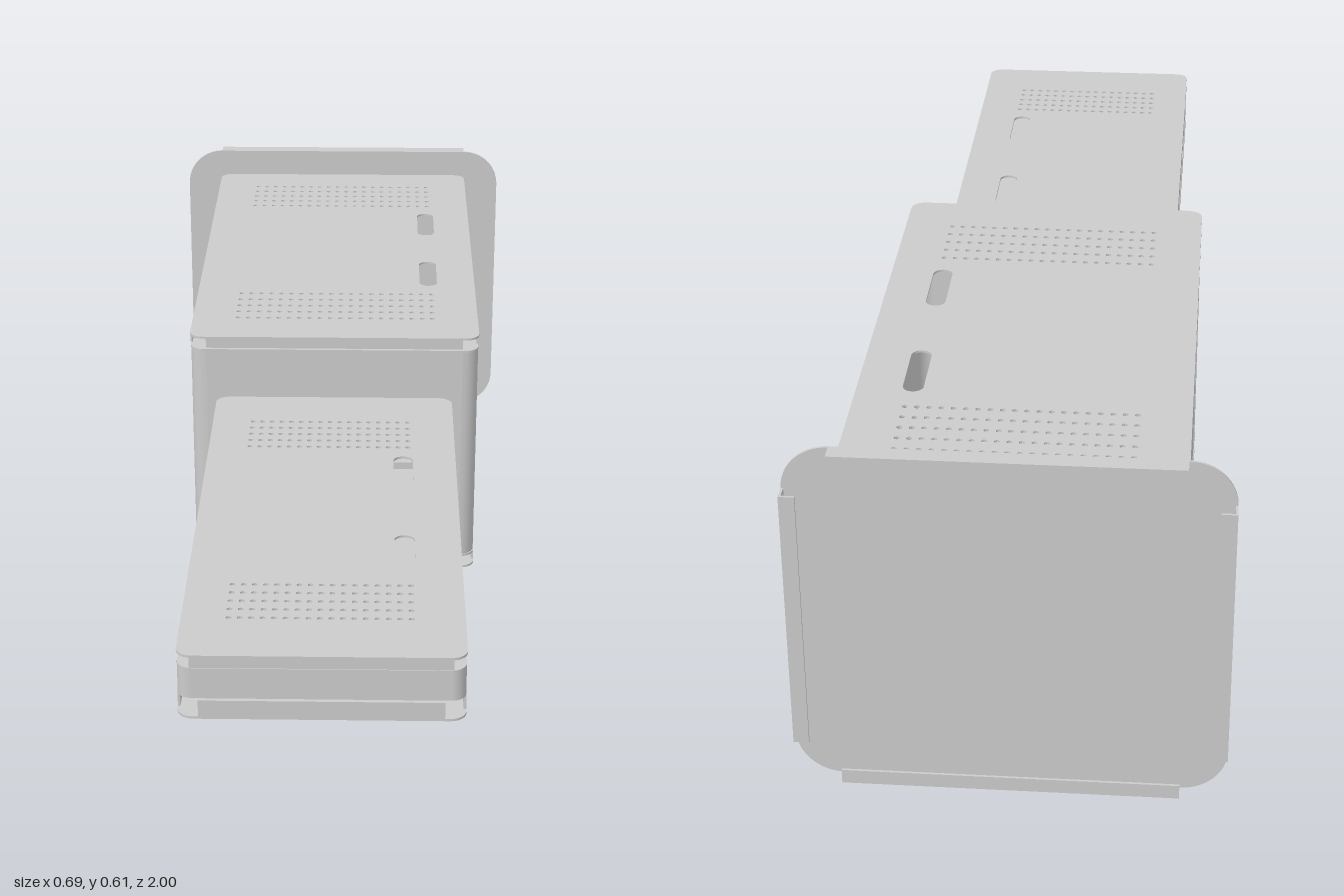
import * as THREE from 'three';

const mat = new THREE.MeshStandardMaterial({ color: 0xcccccc, side: THREE.DoubleSide });
const T = 0.004; // sheet thickness

// Rounded rectangle, used for outlines and for holes
function roundRect(x0, y0, x1, y1, r, Type = THREE.Path) {
  const p = new Type();
  p.moveTo(x0 + r, y0);
  p.lineTo(x1 - r, y0);
  p.absarc(x1 - r, y0 + r, r, -Math.PI / 2, 0);
  p.lineTo(x1, y1 - r);
  p.absarc(x1 - r, y1 - r, r, 0, Math.PI / 2);
  p.lineTo(x0 + r, y1);
  p.absarc(x0 + r, y1 - r, r, Math.PI / 2, Math.PI);
  p.lineTo(x0, y0 + r);
  p.absarc(x0 + r, y0 + r, r, Math.PI, Math.PI * 1.5);
  return p;
}

// Plan rectangle: shape y is -z
const plan = (hw, z0, z1, r, Type) => roundRect(-hw, -z1, hw, -z0, r, Type);
const planHole = (x, z, w, d, r) => roundRect(x - w / 2, -z - d / 2, x + w / 2, -z + d / 2, r);

function add(group, name, geo) {
  const m = new THREE.Mesh(geo, mat);
  m.name = name;
  group.add(m);
  return m;
}

function box(group, name, x0, x1, y0, y1, z0, z1) {
  add(group, name, new THREE.BoxGeometry(x1 - x0, y1 - y0, z1 - z0))
    .position.set((x0 + x1) / 2, (y0 + y1) / 2, (z0 + z1) / 2);
}

// Horizontal sheet with its underside at height y
function sheet(group, name, shape, holes, y) {
  shape.holes.push(...holes);
  const geo = new THREE.ExtrudeGeometry(shape, { depth: T, bevelEnabled: false, curveSegments: 4 });
  add(group, name, geo.rotateX(-Math.PI / 2).translate(0, y, 0));
}

// Upright wall following plan points [x, z]
function wall(group, name, pts, y0, y1) {
  const pos = [], idx = [];
  pts.forEach(([x, z], i) => {
    pos.push(x, y0, z, x, y1, z);
    const a = i * 2;
    if (i < pts.length - 1) idx.push(a, a + 2, a + 1, a + 1, a + 2, a + 3);
  });
  const geo = new THREE.BufferGeometry();
  geo.setAttribute('position', new THREE.Float32BufferAttribute(pos, 3));
  geo.setIndex(idx);
  geo.computeVertexNormals();
  add(group, name, geo);
}

// Field of small round vents: five rows
function vents(hw, z0, z1, count, xc) {
  const holes = [];
  for (let r = 0; r < 5; r++) {
    for (let i = 0; i < count; i++) {
      const x = xc - hw + (2 * hw * i) / (count - 1);
      const z = z0 + ((z1 - z0) * r) / 4;
      holes.push(new THREE.Path().absarc(x, -z, 0.0048, 0, Math.PI * 2));
    }
  }
  return holes;
}

// Shallow pan: a plate with four folded skirts that stop short of the corners
function pan(group, name, o) {
  const g = new THREE.Group();
  g.name = name;
  const up = o.plate > o.edge;
  const y0 = Math.min(o.plate, o.edge), y1 = Math.max(o.plate, o.edge);
  sheet(g, name + ' plate', plan(o.hw, o.z0, o.z1, 0.025, THREE.Shape), o.holes, up ? y1 - T : y0);
  for (const z of [o.z0, o.z1 - T]) box(g, name + ' end skirt', -o.sx, o.sx, y0, y1, z, z + T);
  for (const x of [-o.hw, o.hw - T]) box(g, name + ' side skirt', x, x + T, y0, y1, o.sz0, o.sz1);
  group.add(g);
}

// Inward ledge folded from the top or bottom of a wall
function ledge(group, hw, z0, z1, y) {
  sheet(group, 'ledge', plan(hw, z0, z1, 0.025, THREE.Shape),
    [plan(hw - 0.035, z0 + 0.035, z1 - 0.035, 0.005)], y);
}

function mainCabinet() {
  const g = new THREE.Group();
  g.name = 'mainCabinet';
  const W = 0.27, F = 0.012, B = -0.97, R = 0.03, y0 = 0.1, y1 = 0.53;

  // Side walls wrapping round the front corners
  for (const s of [-1, 1]) {
    const pts = [[s * W, B], [s * W, F - R]];
    for (let i = 1; i <= 6; i++) {
      const a = (i / 6) * Math.PI / 2;
      pts.push([s * (W - R + R * Math.cos(a)), F - R + R * Math.sin(a)]);
    }
    wall(g, 'sideWall', pts, y0, y1);
    box(g, 'sideSeam', s * W - 0.001, s * W + 0.001, y0, y1, -0.313, -0.307);
  }
  // Front wall with its rectangular window
  const front = roundRect(-W + R, y0, W - R, y1, 0.0001, THREE.Shape);
  front.holes.push(roundRect(0.092, 0.116, 0.22, 0.222, 0.003));
  add(g, 'frontWall', new THREE.ShapeGeometry(front)).position.z = F;

  ledge(g, W, B, F, y1 - T);
  ledge(g, W, B, F, y0);
  const size = { hw: W + 0.001, z0: B, z1: 0.015, sx: 0.24, sz0: -0.935, sz1: -0.015 };
  pan(g, 'topLid', {
    ...size, plate: 0.556, edge: 0.534,
    holes: [
      ...vents(0.185, -0.88, -0.75, 20, 0), ...vents(0.185, -0.215, -0.085, 20, 0),
      planHole(0.18, -0.632, 0.034, 0.138, 0.0168), planHole(0.18, -0.332, 0.034, 0.138, 0.0168),
    ],
  });
  pan(g, 'bottomPan', {
    ...size, plate: 0.077, edge: 0.097,
    holes: [
      planHole(0.14, -0.065, 0.09, 0.07, 0.003), planHole(0.145, -0.215, 0.1, 0.07, 0.03),
      planHole(-0.01, -0.485, 0.1, 0.026, 0.005),
    ],
  });
  return g;
}

function narrowDrawer() {
  const g = new THREE.Group();
  g.name = 'narrowDrawer';
  const W = 0.22, B = 0.015, F = 0.998, y0 = 0.36, y1 = 0.412;

  // Middle frame with rounded corners
  const pts = plan(W, B, F, 0.022).getPoints(4).map((p) => [p.x, -p.y]);
  wall(g, 'frameWall', [...pts, pts[0]], y0, y1);
  ledge(g, W, B, F, y1 - T);
  ledge(g, W, B, F, y0);
  for (const s of [-1, 1]) box(g, 'frameSeam', s * W - 0.001, s * W + 0.001, y0, y1, 0.667, 0.673);

  const size = { hw: W + 0.001, z0: B, z1: 1, sx: 0.2 };
  pan(g, 'drawerLid', {
    ...size, plate: 0.435, edge: 0.414, sz0: 0.04, sz1: 0.945,
    holes: [
      ...vents(0.142, 0.13, 0.24, 17, -0.005), ...vents(0.142, 0.77, 0.88, 17, -0.005),
      planHole(0.128, 0.348, 0.034, 0.138, 0.0168), planHole(0.128, 0.66, 0.034, 0.138, 0.0168),
    ],
  });
  pan(g, 'drawerPan', {
    ...size, plate: 0.325, edge: 0.357, sx: 0.188, sz0: 0.05, sz1: 0.97,
    holes: [planHole(0.01, 0.91, 0.14, 0.03, 0.014), planHole(0.1, 0.09, 0.14, 0.03, 0.014)],
  });
  return g;
}

function mountingPlate() {
  const g = new THREE.Group();
  g.name = 'mountingPlate';
  const W = 0.345, H = 0.61, B = -1, Z = -0.97, ret = 0.025;
  const shape = roundRect(-W, 0.001, W, H, 0.075, THREE.Shape);
  add(g, 'plate', new THREE.ExtrudeGeometry(shape, { depth: T, bevelEnabled: false, curveSegments: 8 }))
    .position.z = Z - T;

  // Rearward lips with narrow inward returns
  for (const s of [-1, 1]) {
    const [a, b, c] = [W * s, (W - T) * s, (W - ret) * s];
    box(g, 'sideLip', Math.min(a, b), Math.max(a, b), 0.077, 0.536, B, Z);
    box(g, 'sideReturn', Math.min(a, c), Math.max(a, c), 0.077, 0.536, B, B + T);
  }
  box(g, 'topLip', -0.27, 0.27, H - T, H, B, Z);
  box(g, 'topReturn', -0.27, 0.27, H - ret, H, B, B + T);
  box(g, 'bottomLip', -0.27, 0.27, 0, T, B, Z);
  box(g, 'bottomReturn', -0.27, 0.27, 0, ret, B, B + T);
  return g;
}

export function createModel() {
  const model = new THREE.Group();
  model.name = 'sheetMetalEnclosure';
  model.add(mainCabinet(), narrowDrawer(), mountingPlate());
  return model;
}
